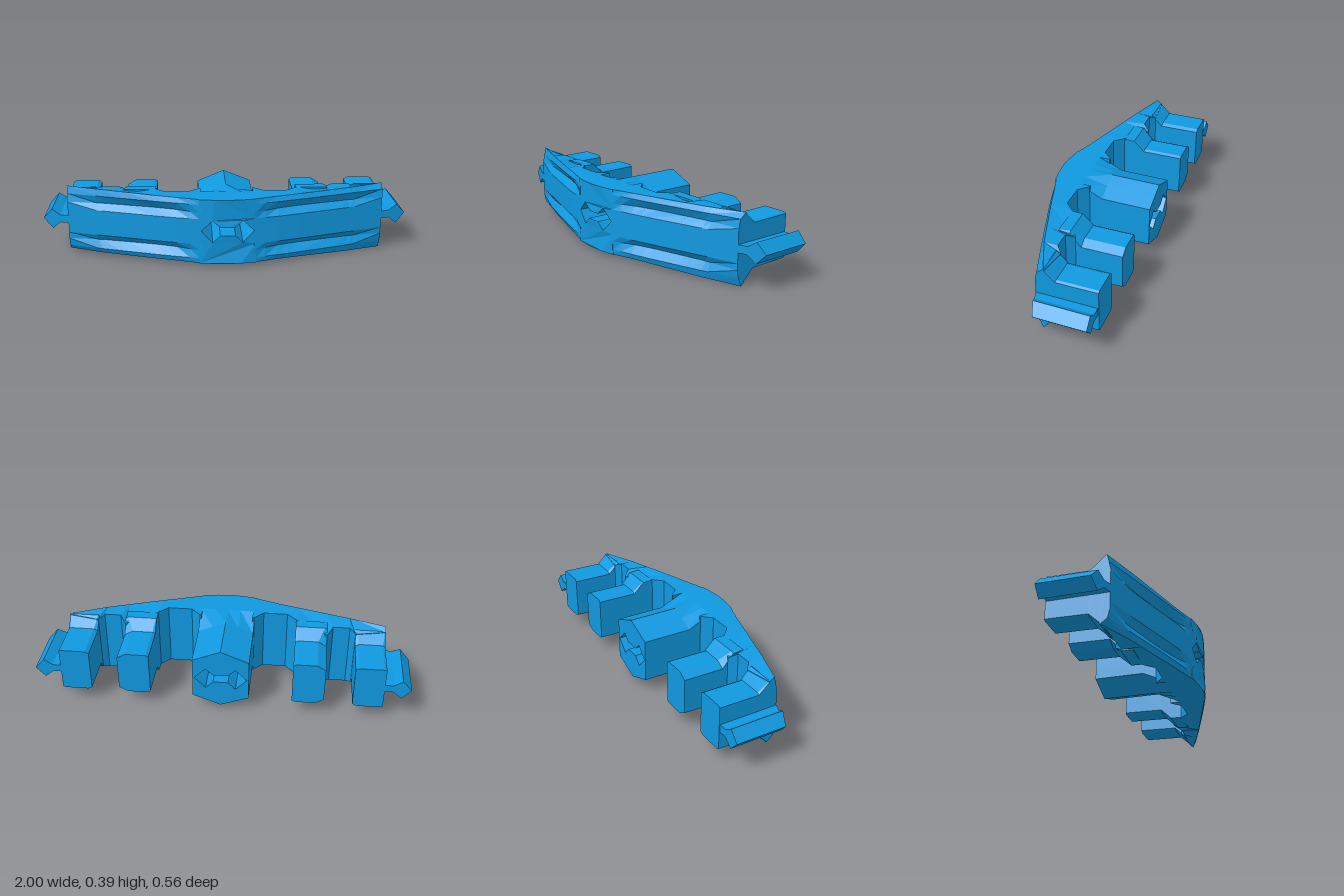
import * as THREE from 'three';

const TOP = 0.372, BOTTOM = 0.016, BACK = -0.28;
const material = new THREE.MeshStandardMaterial({
  color: 0x1099e0, flatShading: true, side: THREE.DoubleSide,
});

// Linear interpolation in a short table of [x, value] pairs
function lookup(table, x) {
  const a = Math.abs(x);
  for (let i = 1; i < table.length; i++) {
    const [x0, v0] = table[i - 1], [x1, v1] = table[i];
    if (a <= x1) return v0 + (v1 - v0) * (a - x0) / (x1 - x0);
  }
  return table[table.length - 1][1];
}
// Bowed front, and strength of the grooves and sloped rims along it
const frontZ = (x) => lookup([[0, 0.277], [0.07, 0.272], [0.15, 0.259], [0.27, 0.231],
  [0.4, 0.192], [0.67, 0.105], [0.86, 0.045], [1, 0]], x);
const groove = (x) => lookup([[0.15, 0], [0.27, 0.8], [0.4, 1], [0.67, 0.7], [0.86, 0]], x);
const rim = (x) => lookup([[0.15, 0.1], [0.27, 0.35], [0.67, 0.5], [0.86, 1]], x);

// Joins rings of points into a closed solid with fan caps, facing outward
function loft(rings) {
  const n = rings[0].length, pos = rings.flat(2), index = [];
  for (let r = 0; r < rings.length - 1; r++) {
    for (let i = 0; i < n; i++) {
      const a = r * n + i, b = r * n + (i + 1) % n;
      index.push(a, b, b + n, a, b + n, a + n);
    }
  }
  [0, rings.length - 1].forEach((r) => {
    const c = pos.length / 3;
    for (let k = 0; k < 3; k++) pos.push(rings[r].reduce((s, p) => s + p[k], 0) / n);
    for (let i = 0; i < n; i++) {
      const a = r * n + i, b = r * n + (i + 1) % n;
      index.push(...(r === 0 ? [c, b, a] : [c, a, b]));
    }
  });
  const v = (i) => new THREE.Vector3().fromArray(pos, i * 3);
  let volume = 0;
  for (let i = 0; i < index.length; i += 3) {
    volume += v(index[i]).dot(v(index[i + 1]).cross(v(index[i + 2])));
  }
  if (volume < 0) index.reverse();
  const g = new THREE.BufferGeometry();
  g.setAttribute('position', new THREE.Float32BufferAttribute(pos, 3));
  g.setIndex(index);
  const flat = g.toNonIndexed();
  flat.computeVertexNormals();
  return flat;
}

// Curved half of the bow, its back edge stepping in at the slots
function bowGeometry(side) {
  const stations = [
    [0.14, 0.06], [0.15, 0.06], [0.2, 0.11], [0.27, 0.11], [0.33, 0.11], [0.38, 0.06],
    [0.55, -0.03], [0.58, 0.01], [0.67, 0.01], [0.7, -0.02], [0.86, -0.005],
  ];
  return loft(stations.map(([x, back]) => {
    const f = frontZ(x), w = groove(x), t = rim(x), rise = Math.max(0, (x - 0.3) / 0.56);
    // One corner of each half lifts or dips toward its end
    const up = side < 0 ? rise : 0, down = side > 0 ? rise : 0;
    const drop = Math.max(0, -back) * 0.87;
    return [
      [back, BOTTOM + drop],
      [f - (0.045 - 0.015 * down) * t, BOTTOM - 0.016 * down],
      [f - 0.01 * t, 0.045], [f - 0.04 * w, 0.09], [f, 0.125],
      [f, 0.265], [f - 0.04 * w, 0.3], [f - 0.01 * t, 0.345],
      [f - (0.045 - 0.025 * up) * t, TOP + 0.014 * up],
      [back, TOP - drop],
    ].map(([z, y]) => [side * x, y, z]);
  }));
}

// Prong, lower than the bow, flaring out to full height where it joins;
// cIn and cOut are the chamfers on its inner and outer sides
function prongGeometry(side, x0, x1, root, cIn, cOut) {
  const ring = (z, low, high, k) => [
    [x0 + cIn * k, low], [x1 - cOut * k, low], [x1, low + 0.6 * cOut * k], [x1, high - 0.6 * cOut * k],
    [x1 - cOut * k, high], [x0 + cIn * k, high], [x0, high - 0.6 * cIn * k], [x0, low + 0.6 * cIn * k],
  ].map(([x, y]) => [side * x, y, z]);
  return loft([
    ring(BACK, 0.076, 0.321, 1), ring(-0.06, 0.071, 0.318, 1),
    ring(0, BOTTOM + 0.003, TOP - 0.003, 0.3), ring(root, BOTTOM + 0.003, TOP - 0.003, 0.1),
  ]);
}

const toPoints = (list) => list.map(([x, y]) => new THREE.Vector2(x, y));

// Central ridge-topped block with a double diamond channel running through
function centreGeometry() {
  const shape = new THREE.Shape(toPoints([
    [0, 0.023], [0.07, 0.05], [0.15, 0.08], [0.15, 0.125], [0.15, 0.265], [0.15, 0.31], [0.07, 0.343],
    [0, TOP], [-0.07, 0.343], [-0.15, 0.31], [-0.15, 0.265], [-0.15, 0.125], [-0.15, 0.08], [-0.07, 0.05],
  ]));
  shape.holes.push(new THREE.Path(toPoints([
    [0, 0.175], [0.04, 0.175], [0.08, 0.135], [0.14, 0.197], [0.08, 0.258], [0.04, 0.22],
    [0, 0.22], [-0.04, 0.22], [-0.08, 0.258], [-0.14, 0.197], [-0.08, 0.135], [-0.04, 0.175],
  ])));
  const g = new THREE.ExtrudeGeometry(shape, { depth: 3, steps: 3, bevelEnabled: false });
  const p = g.attributes.position;
  for (let i = 0; i < p.count; i++) {
    const level = Math.round(p.getZ(i)), x = p.getX(i), y = p.getY(i);
    p.setZ(i, [BACK, -0.01, 0.12, frontZ(x)][level]);
    // The roof slopes level out where the block meets the bow
    if (level >= 2 && y > 0.3) p.setY(i, TOP);
    if (level >= 2 && y < 0.1) p.setY(i, BOTTOM);
  }
  g.computeVertexNormals();
  return g;
}

// Diamond rail on a thin neck, its front end cut along the bow
function railGeometry(side) {
  const shape = new THREE.Shape(toPoints([
    [0.85, 0.178], [0.905, 0.178], [0.95, 0.14], [1, 0.195], [0.95, 0.25], [0.905, 0.22], [0.85, 0.22],
  ].map(([x, y]) => [side * x, y])));
  const g = new THREE.ExtrudeGeometry(shape, { depth: 1, bevelEnabled: false });
  const p = g.attributes.position;
  for (let i = 0; i < p.count; i++) {
    p.setZ(i, p.getZ(i) > 0.5 ? frontZ(p.getX(i)) : -0.275);
  }
  g.computeVertexNormals();
  return g;
}

export function createModel() {
  const group = new THREE.Group();
  group.name = 'prongedBow';
  const add = (name, geometry) => {
    const mesh = new THREE.Mesh(geometry, material);
    mesh.name = name;
    group.add(mesh);
  };

  add('centreBlock', centreGeometry());
  for (const [side, label] of [[1, 'left'], [-1, 'right']]) {
    add(label + 'Bow', bowGeometry(side));
    add(label + 'InnerProng', prongGeometry(side, 0.38, 0.55, 0.06, 0.015, 0.045));
    add(label + 'OuterProng', prongGeometry(side, 0.7, 0.86, 0.005, 0.02, 0.012));
    add(label + 'Rail', railGeometry(side));
  }
  return group;
}
